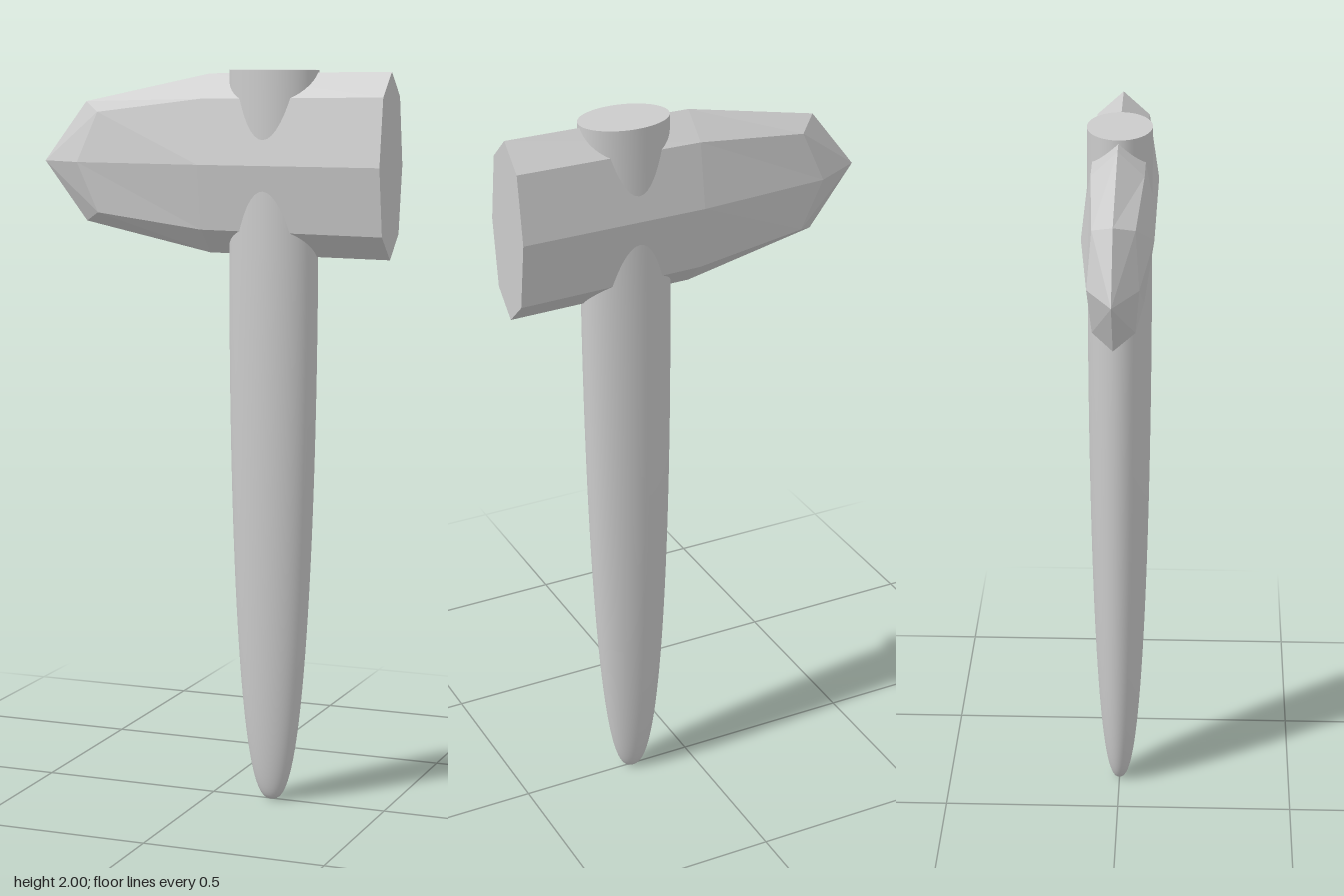
import * as THREE from 'three';

const material = new THREE.MeshStandardMaterial({ color: 0xcccccc });
const facetMaterial = new THREE.MeshStandardMaterial({ color: 0xcccccc, flatShading: true });

const HEAD_Y = 1.75;
const HANDLE = { x: 0.173, rx: 0.123, rz: 0.087, top: 2, full: 1.5 };

// Eight-sided ring: ridge (top/bottom), bevel (diagonals) and side (left/right) corners.
function ring({ ridgeX, bevelX, ridge, bevelY, bevelZ, side }) {
  const points = [];
  for (let i = 0; i < 8; i++) {
    const a = (i * Math.PI) / 4;
    const sy = Math.round(Math.cos(a)), sz = Math.round(Math.sin(a));
    if (i % 2) points.push([bevelX, HEAD_Y + sy * bevelY, sz * bevelZ]);
    else points.push([ridgeX, HEAD_Y + sy * ridge, sz * side]);
  }
  return points;
}

// Head lofted from the point at -x to the flat striking face at +x.
function headGeometry() {
  const rings = [
    ring({ ridgeX: -0.375, bevelX: -0.318, ridge: 0.163, bevelY: 0.136, bevelZ: 0.055, side: 0.066 }),
    ring({ ridgeX: -0.01, bevelX: -0.01, ridge: 0.24, bevelY: 0.174, bevelZ: 0.07, side: 0.096 }),
    ring({ ridgeX: 0.5, bevelX: 0.5, ridge: 0.246, bevelY: 0.181, bevelZ: 0.072, side: 0.099 }),
  ];
  const tip = [-0.5, HEAD_Y, 0], faceCentre = [0.5, HEAD_Y, 0];
  const pos = [];
  const tri = (a, b, c) => pos.push(...a, ...b, ...c);
  for (let i = 0; i < 8; i++) {
    const j = (i + 1) % 8;
    tri(tip, rings[0][j], rings[0][i]);
    for (let k = 0; k < rings.length - 1; k++) {
      const a = rings[k], b = rings[k + 1];
      tri(a[i], a[j], b[j]);
      tri(a[i], b[j], b[i]);
    }
    tri(faceCentre, rings[2][i], rings[2][j]);
  }
  const geometry = new THREE.BufferGeometry();
  geometry.setAttribute('position', new THREE.Float32BufferAttribute(pos, 3));
  // Wind every triangle away from the head's long axis or its ends.
  const p = geometry.attributes.position;
  const [A, B, C] = [0, 1, 2].map(() => new THREE.Vector3());
  for (let t = 0; t < p.count; t += 3) {
    [A, B, C].forEach((v, n) => v.fromBufferAttribute(p, t + n));
    const normal = B.clone().sub(A).cross(C.clone().sub(A));
    const out = A.clone().add(B).add(C).divideScalar(3).sub(new THREE.Vector3(0, HEAD_Y, 0));
    if (normal.dot(out) < 0) {
      p.setXYZ(t + 1, C.x, C.y, C.z);
      p.setXYZ(t + 2, B.x, B.y, B.z);
    }
  }
  geometry.computeVertexNormals();
  return geometry;
}

// Handle profile: rounded tip swelling to full width, then straight.
function handleGeometry() {
  const points = [];
  const steps = 32;
  for (let i = 0; i <= steps; i++) {
    const y = HANDLE.full * (i / steps) ** 2.2;
    const r = (1 - (1 - y / HANDLE.full) ** 2) ** 0.37;
    points.push(new THREE.Vector2(r, y));
  }
  points.push(new THREE.Vector2(1, HANDLE.top));
  return new THREE.LatheGeometry(points, 64).scale(HANDLE.rx, 1, HANDLE.rz);
}

export function createModel() {
  const group = new THREE.Group();
  group.name = 'hammer';

  const add = (name, geometry, mat) => {
    const mesh = new THREE.Mesh(geometry, mat);
    mesh.name = name;
    group.add(mesh);
    return mesh;
  };

  add('head', headGeometry(), facetMaterial);

  add('handle', handleGeometry(), material).position.x = HANDLE.x;

  // Flat elliptical end of the handle above the head
  const cap = new THREE.CircleGeometry(1, 64).rotateX(-Math.PI / 2).scale(HANDLE.rx, 1, HANDLE.rz);
  add('handleTop', cap, material).position.set(HANDLE.x, HANDLE.top, 0);

  return group;
}
